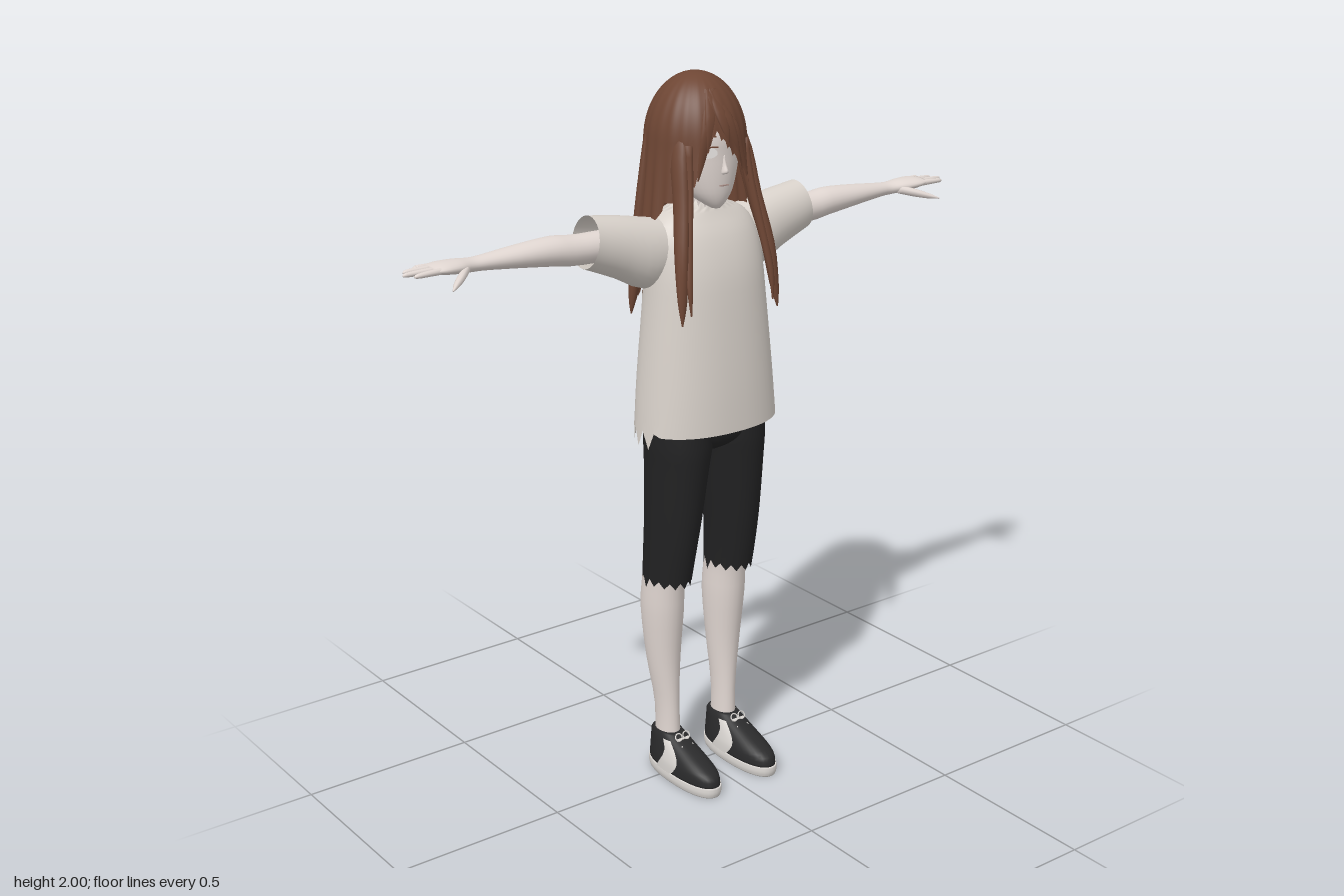
import * as THREE from 'three';

const mat = (name, color, side = THREE.FrontSide) => {
  const m = new THREE.MeshStandardMaterial({ color, side });
  m.name = name;
  return m;
};

// Catmull-Rom blend between rows of numbers, for smooth lofts
function smoothRows(rows, sub) {
  const out = [];
  for (let i = 0; i < rows.length - 1; i++) {
    const p = rows[Math.max(i - 1, 0)], a = rows[i], b = rows[i + 1], n = rows[Math.min(i + 2, rows.length - 1)];
    for (let k = 0; k < sub; k++) {
      const t = k / sub;
      out.push(a.map((v, c) => v + 0.5 * t * (b[c] - p[c] + t * (2 * p[c] - 5 * v + 4 * b[c] - n[c] + t * (3 * (v - b[c]) + n[c] - p[c])))));
    }
  }
  out.push(rows[rows.length - 1]);
  return out;
}

function build(pos, idx) {
  const g = new THREE.BufferGeometry();
  g.setAttribute('position', new THREE.Float32BufferAttribute(pos, 3));
  g.setIndex(idx);
  g.computeVertexNormals();
  return g;
}

// Loft of ellipses. Axis y: rows are [y, centreX, centreZ, radiusX, radiusZ]; axis x: [x, centreY, centreZ, radiusY, radiusZ]
function loft(rows, { axis = 'y', seg = 24, sub = 3, caps = true, jag = null, from = 0, to = null, twist = 0, pow = 1, skew = 0 } = {}) {
  const R = smoothRows(rows, sub), pos = [], idx = [];
  const closed = to === null, cols = closed ? seg : seg + 1, last = R.length - 1;
  const put = (u, a, b) => (axis === 'y' ? pos.push(a, u, b) : pos.push(u, a, b));
  const tri = (a, b, c) => (axis === 'y' ? idx.push(a, b, c) : idx.push(a, c, b));
  const bend = v => Math.sign(v) * Math.abs(v) ** pow;
  R.forEach(([u, c1, c2, r1, r2], i) => {
    for (let j = 0; j < cols; j++) {
      const t = from + ((closed ? Math.PI * 2 : to - from) * j) / seg + twist * i;
      const drop = jag ? jag(i, last, j, t) : 0;
      put(u + drop - skew * Math.cos(t) * (i / last), c1 + r1 * bend(Math.cos(t)), c2 + r2 * bend(Math.sin(t)));
    }
  });
  for (let i = 0; i < last; i++) for (let j = 0; j < seg; j++) {
    const a = i * cols + j, b = i * cols + (j + 1) % cols;
    tri(a, a + cols, b);
    tri(b, a + cols, b + cols);
  }
  if (caps && closed) [0, last].forEach(i => {
    const c = pos.length / 3;
    put(R[i][0], R[i][1], R[i][2]);
    for (let j = 0; j < seg; j++) {
      const a = i * cols + j, b = i * cols + (j + 1) % cols;
      i ? tri(a, c, b) : tri(a, b, c);
    }
  });
  return build(pos, idx);
}

function mirror(geo) {
  const g = geo.clone().scale(-1, 1, 1);
  const ix = g.index.array;
  for (let i = 0; i < ix.length; i += 3) [ix[i], ix[i + 1]] = [ix[i + 1], ix[i]];
  g.computeVertexNormals();
  return g;
}

// Hair shell: a dome whose lower edge depends on the angle from the front (0) to the back (PI)
function hairPoint(a, y, lift = 0) {
  const up = Math.max(0, (y - 1.82) / 0.18), down = Math.max(0, 1.82 - y);
  const k = Math.sqrt(Math.max(0, 1 - up * up));
  const ripple = 1 + 0.025 * Math.cos(a * 22) * Math.min(1, down * 5 + 0.3 * k);
  const rx = (0.134 + down * 0.1) * k * ripple + lift, rz = (0.137 + down * 0.08) * k * ripple + lift;
  return [Math.sin(a) * rx, y, -0.025 + Math.cos(a) * rz];
}

function hairEdge(a, j) {
  const d = Math.abs(a);
  if (d < 0.75) return 1.87 - (a > -0.25 ? 0.16 * (a + 0.25) : 0.33 * (-0.25 - a)) - (j % 3 ? 0 : 0.012);
  if (d < 1.25) return 1.68;
  if (d < 2) return 1.66 - (d - 1.25) * 0.22;
  return 1.43 - 0.02 * Math.cos(a) * -1 - (j % 4) * 0.013;
}

function hairShell() {
  const cols = 144, rows = 26, pos = [], idx = [];
  for (let i = 0; i <= rows; i++) for (let j = 0; j <= cols; j++) {
    const a = -Math.PI + (j / cols) * Math.PI * 2;
    pos.push(...hairPoint(a, 2 - (2 - hairEdge(a, j)) * (i / rows) ** 1.8));
  }
  for (let i = 0; i < rows; i++) for (let j = 0; j < cols; j++) {
    const a = i * (cols + 1) + j, b = a + cols + 1;
    idx.push(a, b, a + 1, a + 1, b, b + 1);
  }
  return build(pos, idx);
}

export function createModel() {
  const root = new THREE.Group();
  root.name = 'standingGirl';
  const skin = mat('skin', 0xe0d6d1);
  const shirt = mat('shirtCloth', 0xd8d1ca, THREE.DoubleSide);
  const hair = mat('brownHair', 0x6e4634, THREE.DoubleSide);
  const cloth = mat('blackCloth', 0x222223, THREE.DoubleSide);
  const shoe = mat('shoeBlack', 0x2a2a2b);
  const trim = mat('shoeTrim', 0xd9d5d1);
  const eyeWhite = mat('eyeWhite', 0xebe8e6);
  const lip = mat('lip', 0xa98f88);

  const add = (name, geo, m) => {
    const mesh = new THREE.Mesh(geo, m);
    mesh.name = name;
    root.add(mesh);
  };
  const pair = (name, geo, m) => {
    add(name + 'Left', geo, m);
    add(name + 'Right', mirror(geo), m);
  };

  // Head, neck and face
  add('head', loft([[1.655, 0, 0.062, 0.012, 0.014], [1.67, 0, 0.05, 0.034, 0.037], [1.7, 0, 0.028, 0.064, 0.068], [1.75, 0, 0.008, 0.088, 0.092],
    [1.8, 0, 0, 0.1, 0.1], [1.86, 0, -0.012, 0.105, 0.11], [1.93, 0, -0.025, 0.08, 0.085], [1.965, 0, -0.025, 0.03, 0.03]], { seg: 32 }), skin);
  add('neck', loft([[1.54, 0, -0.02, 0.05, 0.05], [1.62, 0, -0.018, 0.043, 0.043], [1.73, 0, -0.01, 0.043, 0.045]]), skin);
  add('nose', loft([[1.75, 0, 0.095, 0.009, 0.01], [1.757, 0, 0.1, 0.009, 0.015], [1.775, 0, 0.097, 0.006, 0.01], [1.8, 0, 0.095, 0.004, 0.005]], { seg: 10 }), skin);
  add('mouth', new THREE.BoxGeometry(0.026, 0.003, 0.006).translate(0, 1.72, 0.1), lip);
  const onFace = (g, x, y, z) => g.rotateY(0.45).translate(x, y, z);
  pair('eye', onFace(new THREE.CircleGeometry(1, 20).scale(0.024, 0.014, 1), 0.046, 1.808, 0.093), eyeWhite);
  pair('eyelash', onFace(new THREE.BoxGeometry(0.05, 0.003, 0.004), 0.046, 1.823, 0.093), hair);
  pair('eyebrow', onFace(new THREE.BoxGeometry(0.042, 0.003, 0.004), 0.046, 1.85, 0.091), hair);
  pair('ear', new THREE.SphereGeometry(1, 12, 8).scale(0.012, 0.03, 0.02).translate(0.102, 1.78, -0.01), skin);

  // Hair shell, locks in front of the shoulders and locks down the back
  add('hairShell', hairShell(), hair);
  pair('frontLock', loft([[1.375, 0.158, 0.13, 0.002, 0.002], [1.44, 0.152, 0.122, 0.014, 0.01], [1.55, 0.142, 0.105, 0.018, 0.02],
    [1.68, 0.119, 0.073, 0.019, 0.026], [1.8, 0.104, 0.045, 0.02, 0.03], [1.88, 0.085, 0.03, 0.012, 0.02]], { seg: 12 }), hair);
  pair('innerLock', loft([[1.4, 0.135, 0.138, 0.002, 0.002], [1.48, 0.134, 0.13, 0.009, 0.007], [1.6, 0.118, 0.103, 0.011, 0.013],
    [1.72, 0.1, 0.077, 0.012, 0.018], [1.83, 0.09, 0.062, 0.012, 0.018]], { seg: 10 }), hair);
  for (let i = 0; i < 13; i++) {
    const a = Math.PI + (i - 6) * 0.195, tip = 1.36 + (i % 3) * 0.02;
    const rows = [[tip, 0.002], [tip + 0.05, 0.012], [tip + 0.15, 0.017], [1.7, 0.015], [1.86, 0.006]].map(([y, r]) => {
      const [x, , z] = hairPoint(a, y, -0.006);
      return [y, x, z, r, r * 0.9];
    });
    add('backLock' + (i + 1), loft(rows, { seg: 10 }), hair);
  }
  // Fringe strands sweeping away from the parting
  [[0.05, 1.83], [0.32, 1.8], [0.55, 1.75], [-0.42, 1.81], [-0.6, 1.74]].forEach(([a, tip], i) => {
    const rows = [0, 0.25, 0.6, 1].map((t, k) => {
      const y = tip + (1.965 - tip) * t;
      const [x, , z] = hairPoint(a + (-0.2 - a) * t * 0.8, y, -0.002);
      return [y, x, z, [0.002, 0.012, 0.018, 0.008][k], [0.002, 0.005, 0.006, 0.004][k]];
    });
    add('fringeStrand' + (i + 1), loft(rows, { seg: 10 }), hair);
  });

  // Loose shirt with ragged collar and hem, and open sleeves
  const shirtJag = (i, last, j, t) => {
    if (i === 0) return Math.sin(t) > 0.3 ? 0 : j % 2 ? -0.04 : 0.008;
    return i === last ? (j % 2 ? 0.018 : -0.012) : 0;
  };
  add('shirtBody', loft([[1.06, 0, 0.02, 0.21, 0.14], [1.2, 0, 0.017, 0.198, 0.137], [1.4, 0, 0.015, 0.18, 0.122], [1.5, 0, 0.01, 0.174, 0.112],
    [1.58, 0, 0, 0.165, 0.095], [1.63, 0, -0.01, 0.135, 0.075], [1.66, 0, -0.012, 0.068, 0.06]], { seg: 48, caps: false, jag: shirtJag, pow: 0.9 }), shirt);
  pair('sleeve', loft([[0.1, 1.545, -0.015, 0.08, 0.07], [0.18, 1.545, -0.018, 0.095, 0.076], [0.26, 1.572, -0.021, 0.082, 0.07],
    [0.352, 1.598, -0.022, 0.068, 0.062]], { axis: 'x', seg: 28, caps: false, skew: 0.012 }), shirt);

  // Arms, hands and fingers
  pair('arm', loft([[0.14, 1.58, -0.025, 0.042, 0.045], [0.37, 1.582, -0.025, 0.04, 0.044], [0.45, 1.59, -0.027, 0.039, 0.044], [0.55, 1.593, -0.028, 0.03, 0.038],
    [0.65, 1.593, -0.03, 0.02, 0.027], [0.69, 1.593, -0.03, 0.018, 0.026], [0.73, 1.597, -0.026, 0.018, 0.036], [0.775, 1.6, -0.025, 0.015, 0.042],
    [0.805, 1.601, -0.026, 0.009, 0.037]], { axis: 'x' }), skin);
  [[0.835, -0.053, -0.062], [0.868, -0.036, -0.045], [0.882, -0.016, -0.02], [0.865, 0.003, 0.006]].forEach(([tip, z0, z1], i) =>
    pair('finger' + (i + 1), loft([[0.775, 1.6, z0, 0.009, 0.009], [0.82, 1.6, (z0 + z1) / 2, 0.008, 0.009],
      [tip - 0.01, 1.599, z1, 0.006, 0.007], [tip, 1.598, z1, 0.002, 0.002]], { axis: 'x', seg: 10 }), skin));
  pair('thumb', loft([[0.705, 1.592, -0.015, 0.012, 0.014], [0.74, 1.583, 0.018, 0.012, 0.016], [0.775, 1.573, 0.048, 0.008, 0.012],
    [0.797, 1.567, 0.07, 0.002, 0.003]], { axis: 'x', seg: 10 }), skin);

  // Legs and cropped trousers with ragged cuffs
  pair('leg', loft([[0.06, 0.1, -0.025, 0.034, 0.045], [0.2, 0.101, -0.027, 0.031, 0.042], [0.35, 0.106, -0.037, 0.046, 0.053], [0.5, 0.108, -0.038, 0.057, 0.068],
    [0.6, 0.108, -0.03, 0.055, 0.068], [0.75, 0.102, -0.01, 0.057, 0.074]]), skin);
  const cuffJag = (i, last, j, t) => (i ? 0 : j % 2 ? (Math.sin(t) < 0 ? -0.025 : -0.01) : 0.008);
  pair('trouserLeg', loft([[0.605, 0.107, -0.016, 0.06, 0.083], [0.7, 0.105, -0.004, 0.064, 0.09], [0.8, 0.101, 0.006, 0.07, 0.096], [0.95, 0.094, 0.014, 0.08, 0.105],
    [1.02, 0.09, 0.016, 0.087, 0.108], [1.12, 0.088, 0.016, 0.085, 0.105]], { seg: 28, caps: false, jag: cuffJag }), cloth);
  add('trouserHips', loft([[0.985, 0, 0.015, 0.05, 0.05], [1.01, 0, 0.015, 0.1, 0.09], [1.05, 0, 0.016, 0.17, 0.107], [1.14, 0, 0.016, 0.17, 0.107]], { seg: 32 }), cloth);

  // Shoes: sole, upper, side stripes and laces
  const upper = [[0.028, 0.1, 0.055, 0.053, 0.147], [0.055, 0.1, 0.052, 0.052, 0.143], [0.075, 0.1, 0.035, 0.048, 0.124],
    [0.095, 0.1, 0.01, 0.043, 0.097], [0.115, 0.1, -0.015, 0.038, 0.07], [0.128, 0.1, -0.025, 0.033, 0.05]];
  pair('shoeSole', loft([[0, 0.1, 0.055, 0.052, 0.147], [0.014, 0.1, 0.055, 0.056, 0.151], [0.03, 0.1, 0.055, 0.055, 0.15]], { seg: 36, pow: 0.88 }), trim);
  pair('shoeUpper', loft(upper, { seg: 36, pow: 0.88 }), shoe);
  const band = upper.slice(0, 5).map(([y, x, z, a, b]) => [y, x, z, a + 0.003, b + 0.003]);
  pair('outerStripe', loft(band, { seg: 8, from: -0.42, to: 0, twist: 0.055, pow: 0.88 }), trim);
  pair('innerStripe', loft(band, { seg: 8, from: Math.PI, to: Math.PI + 0.42, twist: -0.055, pow: 0.88 }), trim);
  for (let i = 0; i < 3; i++)
    pair('lace' + (i + 1), new THREE.BoxGeometry(0.04, 0.005, 0.006).rotateX(0.6).translate(0.1, 0.118 - i * 0.013, 0.046 + i * 0.022), trim);
  [-1, 1].forEach((s, i) =>
    pair('laceLoop' + (i + 1), new THREE.TorusGeometry(0.011, 0.002, 6, 14).rotateX(-0.5).translate(0.1 + s * 0.013, 0.126, 0.045), trim));

  return root;
}
